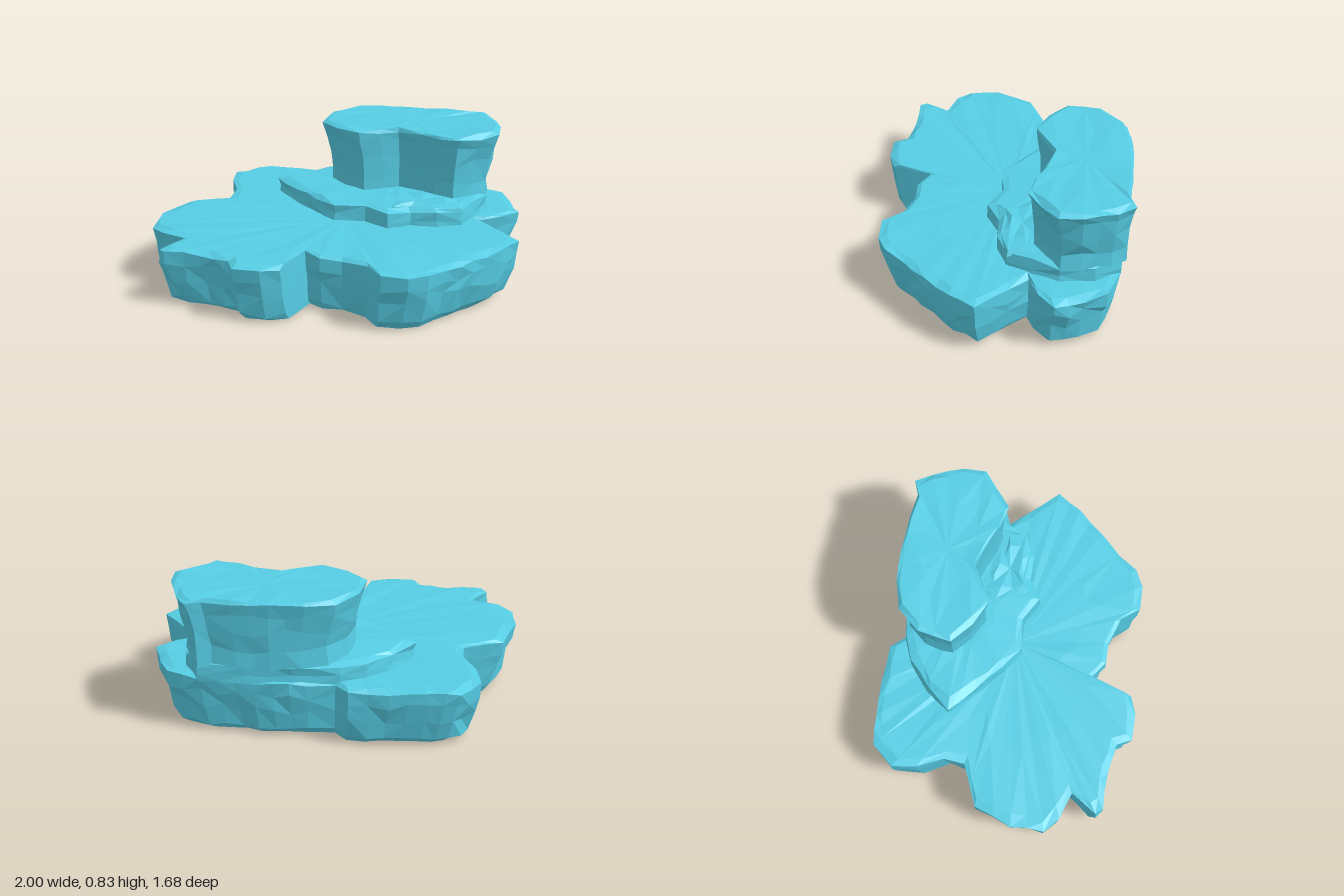
import * as THREE from 'three';

// Small seeded generator for repeatable rock facets
function seeded(seed) {
  let s = seed;
  return () => {
    s = (s * 16807) % 2147483647;
    return s / 2147483647;
  };
}

// Plan outlines as [x, z], running clockwise seen from above
const BASE = [
  [-0.95, -0.35], [-0.88, -0.5], [-0.72, -0.56], [-0.52, -0.62], [-0.31, -0.67], [-0.22, -0.61],
  [-0.08, -0.67], [0.1, -0.72], [0.3, -0.75], [0.5, -0.79], [0.69, -0.77], [0.78, -0.67],
  [0.87, -0.53], [0.8, -0.42], [0.7, -0.34], [0.82, -0.26], [1.0, -0.14], [0.95, 0.02],
  [0.86, 0.2], [0.77, 0.35], [0.72, 0.48], [0.63, 0.55], [0.49, 0.59], [0.38, 0.51],
  [0.22, 0.5], [0.1, 0.53], [-0.01, 0.49], [-0.03, 0.74], [-0.12, 0.8], [-0.27, 0.84],
  [-0.33, 0.77], [-0.5, 0.78], [-0.7, 0.83], [-0.75, 0.81], [-0.69, 0.64], [-0.85, 0.63],
  [-0.95, 0.58], [-1.0, 0.4], [-0.97, 0.17], [-0.78, 0.02], [-0.8, -0.1], [-0.9, -0.22],
];
const STEP = [
  [-0.55, -0.18], [-0.48, -0.34], [-0.36, -0.5], [-0.24, -0.59], [0, -0.68], [0.25, -0.74],
  [0.5, -0.79], [0.62, -0.68], [0.68, -0.5], [0.66, -0.34], [0.64, -0.19], [0.53, -0.1],
  [0.38, -0.06], [0.28, 0.04], [0.12, 0.0], [-0.05, 0.06], [-0.2, 0.0], [-0.38, -0.08],
];
const TOWER = [
  [-0.29, -0.26], [-0.3, -0.45], [-0.22, -0.6], [-0.08, -0.68], [0.1, -0.74], [0.3, -0.78],
  [0.45, -0.8], [0.52, -0.85], [0.6, -0.78], [0.7, -0.62], [0.74, -0.5], [0.66, -0.4],
  [0.58, -0.29], [0.45, -0.29], [0.35, -0.31], [0.18, -0.32], [0.1, -0.24], [0, -0.16], [-0.15, -0.19],
];
const LEDGE = [
  [0.15, -0.2], [0.19, -0.29], [0.38, -0.32], [0.58, -0.29], [0.64, -0.2], [0.52, -0.12], [0.36, -0.1], [0.27, -0.02],
];

// Split long outline edges so that facets are of similar size
function subdivide(outline, step) {
  const out = [];
  outline.forEach(([x, z], i) => {
    const [nx, nz] = outline[(i + 1) % outline.length];
    const parts = Math.max(1, Math.round(Math.hypot(nx - x, nz - z) / step));
    for (let k = 0; k < parts; k++) out.push([x + ((nx - x) * k) / parts, z + ((nz - z) * k) / parts]);
  });
  return out;
}

// Rock slab from rings of [scale, y, sideways jitter, height jitter], bottom to top
function rock(name, outline, [cx, cz], step, rings, seed, material) {
  const rand = seeded(seed);
  const spread = (amount) => (rand() * 2 - 1) * amount;
  const plan = subdivide(outline, step);
  const n = plan.length;
  const points = rings.map(([scale, y, side, height]) =>
    plan.map(([x, z]) => {
      const s = scale === 0 ? 0 : scale + spread(side);
      return [cx + (x - cx) * s, y + (scale === 0 ? 0 : spread(height)), cz + (z - cz) * s];
    }));
  const pos = [];
  const tri = (a, b, c) => pos.push(...a, ...b, ...c);
  for (let r = 0; r < rings.length - 1; r++) {
    for (let j = 0; j < n; j++) {
      const k = (j + 1) % n;
      const a = points[r][j], b = points[r][k], c = points[r + 1][k], d = points[r + 1][j];
      if (rings[r][0] === 0) tri(a, d, c);
      else if (rings[r + 1][0] === 0) tri(a, d, b);
      else if (rand() < 0.5) { tri(a, c, b); tri(a, d, c); }
      else { tri(a, d, b); tri(b, d, c); }
    }
  }
  const geometry = new THREE.BufferGeometry();
  geometry.setAttribute('position', new THREE.Float32BufferAttribute(pos, 3));
  geometry.computeVertexNormals();
  const mesh = new THREE.Mesh(geometry, material);
  mesh.name = name;
  return mesh;
}

export function createModel() {
  const group = new THREE.Group();
  group.name = 'steppedRock';
  const stone = new THREE.MeshStandardMaterial({ color: 0x56cde4, flatShading: true });
  stone.name = 'turquoise stone';

  // Wide bottom slab with undercut sides
  group.add(rock('baseSlab', BASE, [0, 0], 0.11, [
    [0, 0.005, 0, 0], [0.89, 0.01, 0.01, 0.005], [0.935, 0.05, 0.015, 0.015], [0.965, 0.17, 0.022, 0.03],
    [0.985, 0.27, 0.015, 0.025], [0.995, 0.345, 0.005, 0.01], [0.94, 0.358, 0.015, 0.005],
    [0.6, 0.36, 0.06, 0.005], [0, 0.355, 0, 0],
  ], 17, stone));

  // Thin middle step
  group.add(rock('middleStep', STEP, [0.1, -0.36], 0.13, [
    [0, 0.33, 0, 0], [1.0, 0.34, 0.01, 0.004], [0.985, 0.39, 0.02, 0.012], [0.985, 0.44, 0.015, 0.008],
    [0.9, 0.455, 0.03, 0.006], [0.5, 0.46, 0.04, 0.005], [0, 0.46, 0, 0],
  ], 41, stone));

  // Low broken ledge at the foot of the tower
  group.add(rock('frontLedge', LEDGE, [0.38, -0.2], 0.12, [
    [0, 0.4, 0, 0], [1.0, 0.42, 0.03, 0.01], [0.95, 0.46, 0.03, 0.008], [0.6, 0.47, 0.06, 0.01], [0, 0.46, 0, 0],
  ], 77, stone));

  // Upper block, flaring towards the top
  group.add(rock('upperBlock', TOWER, [0.2, -0.5], 0.12, [
    [0, 0.42, 0, 0], [0.89, 0.43, 0.015, 0.01], [0.87, 0.54, 0.025, 0.025], [0.91, 0.65, 0.025, 0.03],
    [0.95, 0.75, 0.02, 0.02], [0.995, 0.815, 0.008, 0.01], [0.93, 0.83, 0.02, 0.006],
    [0.55, 0.826, 0.06, 0.006], [0, 0.825, 0, 0],
  ], 123, stone));

  return group;
}
